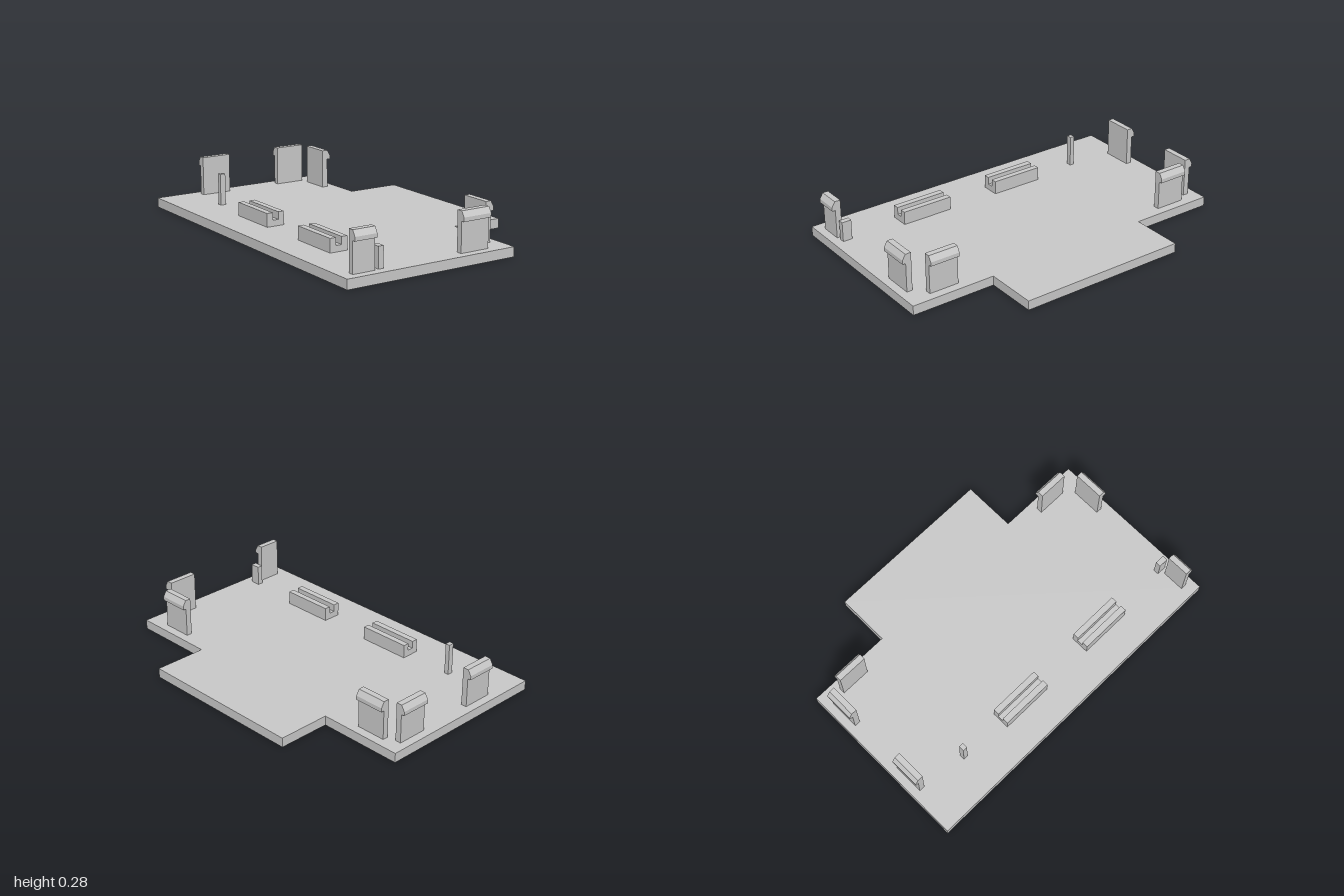
import * as THREE from 'three';

const BASE = 0.055; // top of the base plate

export function createModel() {
  const model = new THREE.Group();
  const grey = new THREE.MeshStandardMaterial({ color: 0xc8c8c8 });
  grey.name = 'light grey plastic';

  const add = (name, geometry) => {
    const mesh = new THREE.Mesh(geometry, grey);
    mesh.name = name;
    model.add(mesh);
    return mesh;
  };
  const extrude = (points, depth) => new THREE.ExtrudeGeometry(
    new THREE.Shape(points.map(([x, y]) => new THREE.Vector2(x, y))),
    { depth, bevelEnabled: false });
  // Block standing on the plate, given by its x and z limits and top height
  const block = (name, x0, x1, z0, z1, top) => {
    const mesh = add(name, new THREE.BoxGeometry(x1 - x0, top - BASE, z1 - z0));
    mesh.position.set((x0 + x1) / 2, (top + BASE) / 2, (z0 + z1) / 2);
  };

  // Base plate with a wide tab on its left side
  const plate = extrude([
    [-0.677, -1], [0.367, -1], [0.367, -0.5], [0.677, -0.5],
    [0.677, 0.5], [0.367, 0.5], [0.367, 1], [-0.677, 1],
  ], BASE);
  plate.rotateX(-Math.PI / 2);
  add('basePlate', plate);

  // Snap clips: a flat stem with a sloped hook pointing outward
  const profile = [
    [0, BASE], [0.034, BASE], [0.034, 0.225], [0.053, 0.225],
    [0.053, 0.248], [0.034, 0.28], [0, 0.28],
  ];
  const clip = (name, x, z, width, angle) => {
    const geometry = extrude(profile, width);
    geometry.translate(0, 0, -width / 2);
    const mesh = add(name, geometry);
    mesh.position.set(x, 0, z);
    mesh.rotation.y = angle;
  };
  clip('frontRightClip', -0.546, 0.917, 0.132, -Math.PI / 2);
  clip('frontLeftClip', 0.144, 0.917, 0.177, -Math.PI / 2);
  clip('backRightClip', -0.324, -0.918, 0.178, Math.PI / 2);
  clip('backLeftClip', 0.189, -0.918, 0.177, Math.PI / 2);
  for (const [name, z] of [['sideFrontClip', 0.776], ['sideBackClip', -0.779]]) {
    clip(name, 0.282, z, 0.177, 0);
  }

  // Two grooved rails: parallel walls with a low floor between them
  for (const [z0, z1] of [[0.262, 0.571], [-0.363, -0.052]]) {
    const rail = add('groovedRail', extrude([
      [-0.493, BASE], [-0.387, BASE], [-0.387, 0.133], [-0.422, 0.133],
      [-0.422, 0.09], [-0.457, 0.09], [-0.457, 0.133], [-0.493, 0.133],
    ], z1 - z0));
    rail.position.z = z0;
  }

  // Stops in line with the grooves
  block('frontStop', -0.456, -0.424, 0.888, 0.945, 0.172);
  block('backStop', -0.456, -0.424, -0.66, -0.633, 0.238);

  return model;
}
